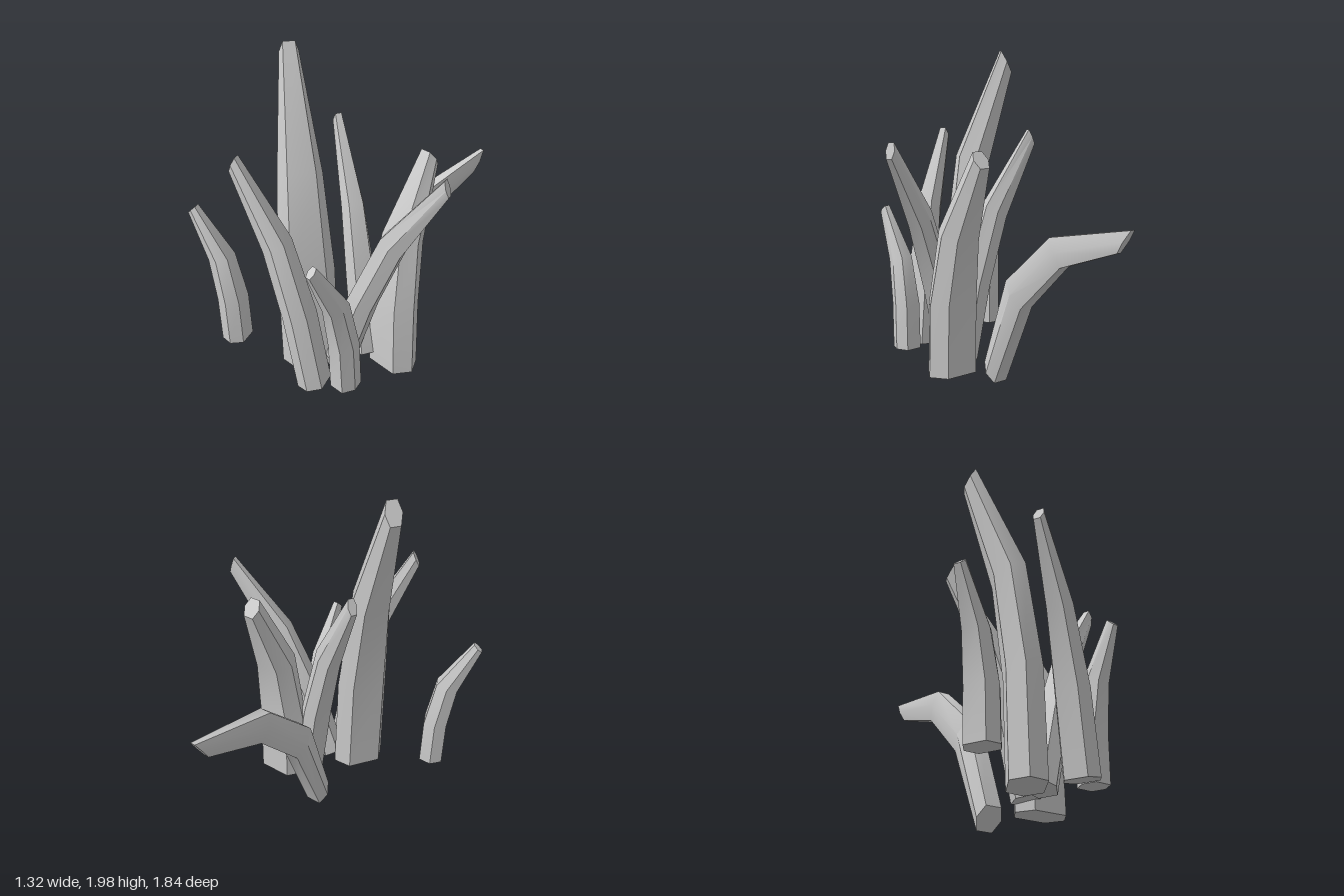
import * as THREE from 'three';
import { toCreasedNormals } from 'three/addons/utils/BufferGeometryUtils.js';

// Elongated hexagon: [across the lean, along the lean]
const HEX = [[1, 0], [0.62, 1], [-0.62, 1], [-1, 0], [-0.62, -1], [0.62, -1]];

// Each row is one ring: [lean offset, height, half width, half depth in z, half depth in y]
function stalkGeometry(rows) {
  const pos = [], index = [], n = HEX.length;
  rows.forEach(([s, y, w, dz, dy]) => {
    HEX.forEach(([a, b]) => pos.push(a * w, y + b * dy, s + b * dz));
  });
  for (let r = 0; r < rows.length - 1; r++) {
    for (let i = 0; i < n; i++) {
      const a = r * n + i, b = r * n + (i + 1) % n;
      index.push(a, a + n, b, b, a + n, b + n);
    }
  }
  // End caps
  const top = (rows.length - 1) * n;
  for (let i = 1; i < n - 1; i++) {
    index.push(0, i, i + 1);
    index.push(top, top + i + 1, top + i);
  }
  const g = new THREE.BufferGeometry();
  g.setAttribute('position', new THREE.Float32BufferAttribute(pos, 3));
  g.setIndex(index);
  return toCreasedNormals(g, 0.6);
}

// Straight foot that curls over and tapers towards the tip
function curlRows(h, lean, w, d) {
  return [
    [0, 0, w, d, 0],
    [lean * 0.03, h * 0.32, w * 0.98, d, 0],
    [lean * 0.26, h * 0.63, w * 0.75, d * 0.9, -d * 0.9 * 0.25 * h],
    [lean, h * 0.962, w * 0.32, d * 0.34, -d * 0.34 * 1.06 * h],
  ];
}

export function createModel() {
  const model = new THREE.Group();
  const material = new THREE.MeshStandardMaterial({ color: 0xcccccc });

  const addStalk = (name, base, dir, tilt, rows) => {
    const mesh = new THREE.Mesh(stalkGeometry(rows), material);
    mesh.name = name;
    mesh.position.set(...base);
    mesh.rotation.order = 'YXZ';
    mesh.rotation.set(THREE.MathUtils.degToRad(tilt), Math.atan2(dir[0], dir[1]), 0);
    model.add(mesh);
  };

  // Thick upright stalks
  addStalk('tallStalk', [-0.07, 0.14, 0.515], [-0.906, -0.42], 0, curlRows(1.86, 0.29, 0.165, 0.095));
  addStalk('backStalk', [0.235, 0.12, 0.135], [-0.09, -0.99], 0, curlRows(1.3, 0.27, 0.163, 0.095));

  // Short upright stalks
  addStalk('shortLeftStalk', [0.312, 0.19, 0.53], [0.12, 0.99], 0, curlRows(0.87, 0.21, 0.078, 0.072));
  addStalk('shortRightStalk', [-0.455, 0.19, 0.79], [-0.85, 0.53], 0, curlRows(0.87, 0.21, 0.095, 0.07));

  // Slender tilted stalks
  addStalk('frontTiltedStalk', [0.165, 0.17, 0.645], [-0.85, 0.53], 8, curlRows(1.4, 0.21, 0.1, 0.075));
  addStalk('leftTiltedStalk', [0.08, 0.18, 0.4], [0.885, -0.466], 18, curlRows(1.43, 0.21, 0.09, 0.075));
  addStalk('rightTiltedStalk', [0.1, 0.17, 0.23], [-0.96, -0.28], 9.5, curlRows(1.415, 0.21, 0.09, 0.075));

  // Drooping stalk reaching far to the back
  addStalk('droopingStalk', [-0.07, 0, 0.13], [-0.1, -0.995], 0, [
    [0, 0.07, 0.077, 0.045, -0.057],
    [0.207, 0.582, 0.075, 0.063, -0.073],
    [0.53, 0.87, 0.058, 0.04, -0.08],
    [1.0, 0.985, 0.025, -0.045, -0.065],
  ]);

  return model;
}
